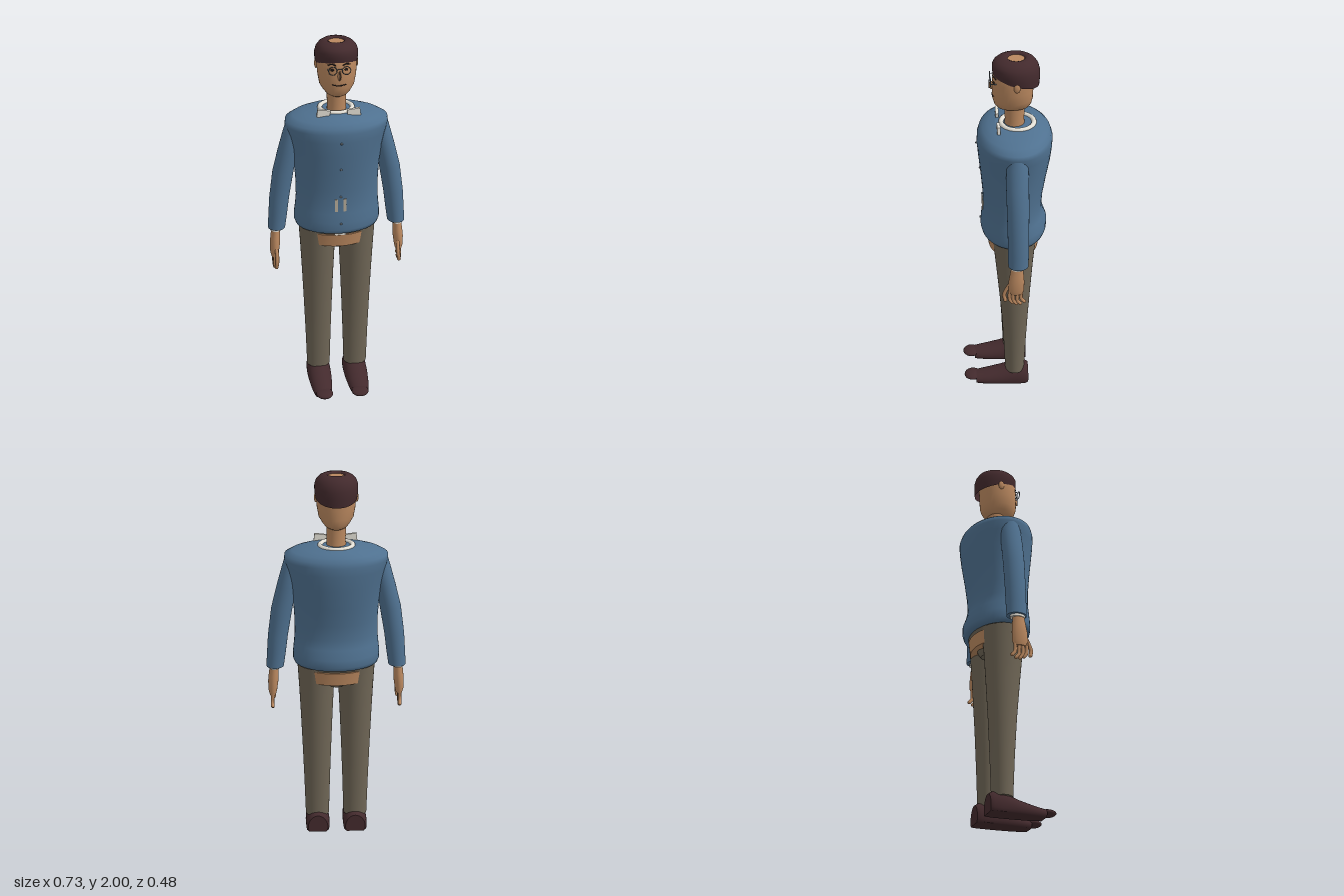
import * as THREE from 'three';

const material = (name, color, side = THREE.FrontSide) => {
  const m = new THREE.MeshStandardMaterial({ color, side });
  m.name = name;
  return m;
};

// Stacks elliptical rings [y, cx, cz, rx, rz], listed from bottom to top
function loft(rings, caps = true, n = 36) {
  const pos = [], idx = [];
  const addRing = ([y, cx, cz, rx, rz]) => {
    const start = pos.length / 3;
    for (let j = 0; j < n; j++) {
      const a = (j / n) * Math.PI * 2;
      pos.push(cx + rx * Math.cos(a), y, cz + rz * Math.sin(a));
    }
    return start;
  };
  const starts = rings.map(addRing);
  for (let i = 0; i < rings.length - 1; i++) {
    for (let j = 0; j < n; j++) {
      const k = (j + 1) % n, s = starts[i], t = starts[i + 1];
      idx.push(s + j, t + j, s + k, s + k, t + j, t + k);
    }
  }
  if (caps) {
    [rings[0], rings[rings.length - 1]].forEach((r, top) => {
      const s = addRing(r), c = pos.length / 3;
      pos.push(r[1], r[0], r[2]);
      for (let j = 0; j < n; j++) {
        const k = (j + 1) % n;
        if (top) idx.push(c, s + k, s + j);
        else idx.push(c, s + j, s + k);
      }
    });
  }
  const g = new THREE.BufferGeometry();
  g.setAttribute('position', new THREE.Float32BufferAttribute(pos, 3));
  g.setIndex(idx);
  g.computeVertexNormals();
  return g;
}

// Moves every vertex by a rule
function reshape(g, rule) {
  const p = g.attributes.position, v = new THREE.Vector3();
  for (let i = 0; i < p.count; i++) {
    v.fromBufferAttribute(p, i);
    rule(v);
    p.setXYZ(i, v.x, v.y, v.z);
  }
  g.computeVertexNormals();
  return g;
}

const tube = (points, r, seg = 12) => new THREE.TubeGeometry(
  new THREE.CatmullRomCurve3(points.map(p => new THREE.Vector3(...p))), seg, r, 8);

export function createModel() {
  const model = new THREE.Group();
  model.name = 'standingMan';
  const blue = material('sweaterBlue', 0x4f7190);
  const brown = material('trouserBrown', 0x6f6656);
  const dark = material('darkMaroon', 0x432a2d, THREE.DoubleSide);
  const skin = material('skin', 0xba885f);
  const white = material('shirtWhite', 0xe4e0d6, THREE.DoubleSide);
  const tan = material('tagBeige', 0xb5aa98);
  const steel = material('frameGrey', 0x68727a);
  const black = material('featureBlack', 0x231c1c);

  const add = (name, geo, mat, x = 0, y = 0, z = 0, parent = model) => {
    const m = new THREE.Mesh(geo, mat);
    m.name = name;
    m.position.set(x, y, z);
    parent.add(m);
    return m;
  };
  const ball = (name, mat, x, y, z, rx, ry, rz, parent = model) => {
    const m = add(name, new THREE.SphereGeometry(1, 20, 14), mat, x, y, z, parent);
    m.scale.set(rx, ry, rz);
    return m;
  };

  // Sweater body with rounded hem and broad shoulders
  add('sweater', loft([
    [0.995, 0, -0.042, 0.2, 0.15], [1.0, 0, -0.042, 0.218, 0.166],
    [1.02, 0, -0.043, 0.226, 0.172], [1.06, 0, -0.044, 0.226, 0.172],
    [1.11, 0, -0.038, 0.22, 0.16], [1.16, 0, -0.036, 0.216, 0.152],
    [1.24, 0, -0.038, 0.216, 0.156], [1.34, 0, -0.042, 0.222, 0.168],
    [1.44, 0, -0.046, 0.235, 0.182], [1.52, 0, -0.047, 0.253, 0.19],
    [1.565, 0, -0.048, 0.265, 0.19], [1.59, 0, -0.048, 0.262, 0.182],
    [1.61, 0, -0.05, 0.225, 0.164], [1.625, 0, -0.052, 0.17, 0.138],
    [1.635, 0, -0.055, 0.11, 0.105],
  ], true, 48), blue);

  // Front buttons and pull tags
  [[1.52, 0.146], [1.37, 0.13], [1.21, 0.119], [1.06, 0.131]].forEach(([y, z]) =>
    ball('button', steel, 0, y, z, 0.006, 0.006, 0.005));
  for (const s of [-1, 1]) add('tag', new THREE.BoxGeometry(0.016, 0.07, 0.014), tan, s * 0.022, 1.162, 0.114);

  // Waist, hip band, shirt tail and crotch
  add('waistband', loft([[0.975, 0, -0.042, 0.19, 0.13], [0.997, 0, -0.042, 0.2, 0.142]]), brown);
  add('hipBand', loft([[0.905, 0, -0.042, 0.178, 0.132], [0.975, 0, -0.042, 0.19, 0.141]]), skin);
  add('shirtTail', new THREE.BoxGeometry(0.06, 0.018, 0.008), white, 0, 0.988, 0.1);
  add('crotch', loft([[0.875, 0, -0.042, 0.055, 0.085], [0.895, 0, -0.042, 0.07, 0.1], [0.93, 0, -0.042, 0.08, 0.11]]), brown);

  // Neck and shirt collar
  add('neck', loft([[1.61, 0, -0.047, 0.05, 0.052], [1.66, 0, -0.047, 0.048, 0.048], [1.75, 0, -0.046, 0.05, 0.052]]), skin);
  const collar = add('collarRing', new THREE.TorusGeometry(0.083, 0.013, 10, 40), white, 0, 1.634, -0.062);
  collar.rotation.x = Math.PI / 2;

  // Head
  const head = new THREE.Group();
  head.name = 'head';
  model.add(head);
  add('skull', loft([
    [1.722, 0, -0.04, 0.04, 0.06], [1.732, 0, -0.04, 0.056, 0.08],
    [1.75, 0, -0.038, 0.07, 0.092], [1.78, 0, -0.037, 0.088, 0.1],
    [1.83, 0, -0.037, 0.097, 0.102], [1.88, 0, -0.039, 0.101, 0.102],
    [1.93, 0, -0.043, 0.1, 0.101], [1.97, 0, -0.047, 0.08, 0.085], [1.99, 0, -0.052, 0.045, 0.048],
  ]), skin, 0, 0, 0, head);

  // Hair: open crown, hairline dropping towards the back
  const hair = loft([
    [1.885, 0, 0, 0.104, 0.114], [1.915, 0, 0, 0.109, 0.117], [1.945, 0, 0, 0.109, 0.117],
    [1.968, 0, 0, 0.102, 0.109], [1.986, 0, 0, 0.087, 0.093], [1.997, 0, 0, 0.068, 0.072],
    [2.0, 0, 0, 0.052, 0.055], [1.996, 0, 0, 0.042, 0.044], [1.985, 0, 0, 0.037, 0.039],
  ], false, 44);
  add('hair', reshape(hair, v => { v.y += 2.4 * (2 - v.y) * v.z; }), dark, 0, 0, -0.053, head);

  // Face
  ball('nose', skin, 0, 1.848, 0.066, 0.009, 0.022, 0.013, head);
  add('noseLine', new THREE.BoxGeometry(0.004, 0.045, 0.004), black, 0, 1.855, 0.078, head);
  add('mouth', tube([[-0.035, 1.802, 0.056], [0, 1.798, 0.064], [0.035, 1.802, 0.056]], 0.003), black, 0, 0, 0, head);
  add('glassesBridge', tube([[-0.013, 1.886, 0.074], [0, 1.89, 0.077], [0.013, 1.886, 0.074]], 0.002), steel, 0, 0, 0, head);
  for (const s of [-1, 1]) {
    ball('ear', skin, s * 0.102, 1.88, -0.052, 0.009, 0.025, 0.016, head);
    ball('eye', black, s * 0.034, 1.88, 0.056, 0.01, 0.006, 0.006, head);
    add('eyebrow', tube([[s * 0.016, 1.902, 0.059], [s * 0.036, 1.909, 0.055], [s * 0.055, 1.903, 0.047]], 0.003),
      black, 0, 0, 0, head);
    add('glassesRim', new THREE.TorusGeometry(0.021, 0.002, 6, 28), steel, s * 0.034, 1.88, 0.073, head);
    add('glassesArm', new THREE.BoxGeometry(0.003, 0.003, 0.028), steel, s * 0.056, 1.882, 0.06, head);
  }

  // Limbs, once per side
  for (const s of [-1, 1]) {
    const side = s > 0 ? 'left' : 'right';
    const flap = add(side + 'CollarFlap', new THREE.BoxGeometry(0.066, 0.038, 0.016), white, s * 0.077, 1.644, 0.037);
    flap.rotation.z = s * 0.12;

    // Sleeve, cuff and hand
    add(side + 'Sleeve', loft([
      [0.975, s * 0.321, -0.048, 0.046, 0.052], [1.05, s * 0.313, -0.048, 0.049, 0.053],
      [1.15, s * 0.303, -0.048, 0.052, 0.054], [1.3, s * 0.28, -0.047, 0.055, 0.056],
      [1.42, s * 0.252, -0.046, 0.053, 0.057], [1.52, s * 0.23, -0.046, 0.047, 0.054],
      [1.57, s * 0.222, -0.046, 0.04, 0.04],
    ], true, 28), blue);
    add(side + 'Cuff', loft([[0.962, s * 0.326, -0.045, 0.031, 0.038], [0.98, s * 0.324, -0.045, 0.031, 0.038]]), white);
    add(side + 'Palm', loft([
      [0.805, s * 0.336, -0.036, 0.017, 0.032], [0.83, s * 0.336, -0.036, 0.023, 0.041],
      [0.88, s * 0.333, -0.037, 0.027, 0.041], [0.92, s * 0.33, -0.039, 0.026, 0.036],
      [0.97, s * 0.327, -0.041, 0.022, 0.03],
    ], true, 20), skin);
    for (let i = 0; i < 4; i++) {
      const z = -0.066 + i * 0.02, drop = [0.012, 0, 0, 0.008][i];
      add(side + 'Finger', tube([
        [s * 0.336, 0.835, z], [s * 0.338, 0.79, z + 0.005],
        [s * 0.339, 0.757 + drop, z + 0.002], [s * 0.338, 0.74 + drop, z - 0.012],
      ], 0.0095), skin);
      ball(side + 'Fingertip', skin, s * 0.338, 0.74 + drop, z - 0.012, 0.0095, 0.0095, 0.0095);
    }
    add(side + 'Thumb', tube([
      [s * 0.33, 0.87, -0.01], [s * 0.326, 0.83, 0.012], [s * 0.328, 0.79, 0.026], [s * 0.332, 0.762, 0.02],
    ], 0.01), skin);
    ball(side + 'ThumbTip', skin, s * 0.332, 0.762, 0.02, 0.01, 0.01, 0.01);

    // Trouser leg
    add(side + 'TrouserLeg', loft([
      [0.085, s * 0.104, -0.047, 0.064, 0.053], [0.3, s * 0.104, -0.047, 0.07, 0.062],
      [0.5, s * 0.104, -0.046, 0.077, 0.073], [0.7, s * 0.104, -0.044, 0.085, 0.088],
      [0.85, s * 0.104, -0.042, 0.092, 0.1], [0.94, s * 0.104, -0.042, 0.097, 0.108],
      [0.99, s * 0.104, -0.042, 0.1, 0.113],
    ]), brown);

    // Shoe: sections run from heel to toe, flattened underneath
    const shoe = loft([
      [-0.122, 0, -0.03, 0.054, 0.068], [-0.105, 0, -0.03, 0.064, 0.08], [-0.06, 0, -0.03, 0.066, 0.084],
      [-0.02, 0, -0.028, 0.066, 0.072], [0.03, 0, -0.024, 0.064, 0.057], [0.1, 0, -0.02, 0.058, 0.042],
      [0.15, 0, -0.018, 0.051, 0.034], [0.172, 0, -0.018, 0.046, 0.03],
    ]).rotateX(Math.PI / 2);
    add(side + 'Shoe', reshape(shoe, v => { v.y = Math.max(v.y, 0); }), dark, s * 0.103);
    ball(side + 'ShoeToe', dark, s * 0.099, 0.032, 0.19, 0.047, 0.018, 0.047);
  }
  return model;
}
